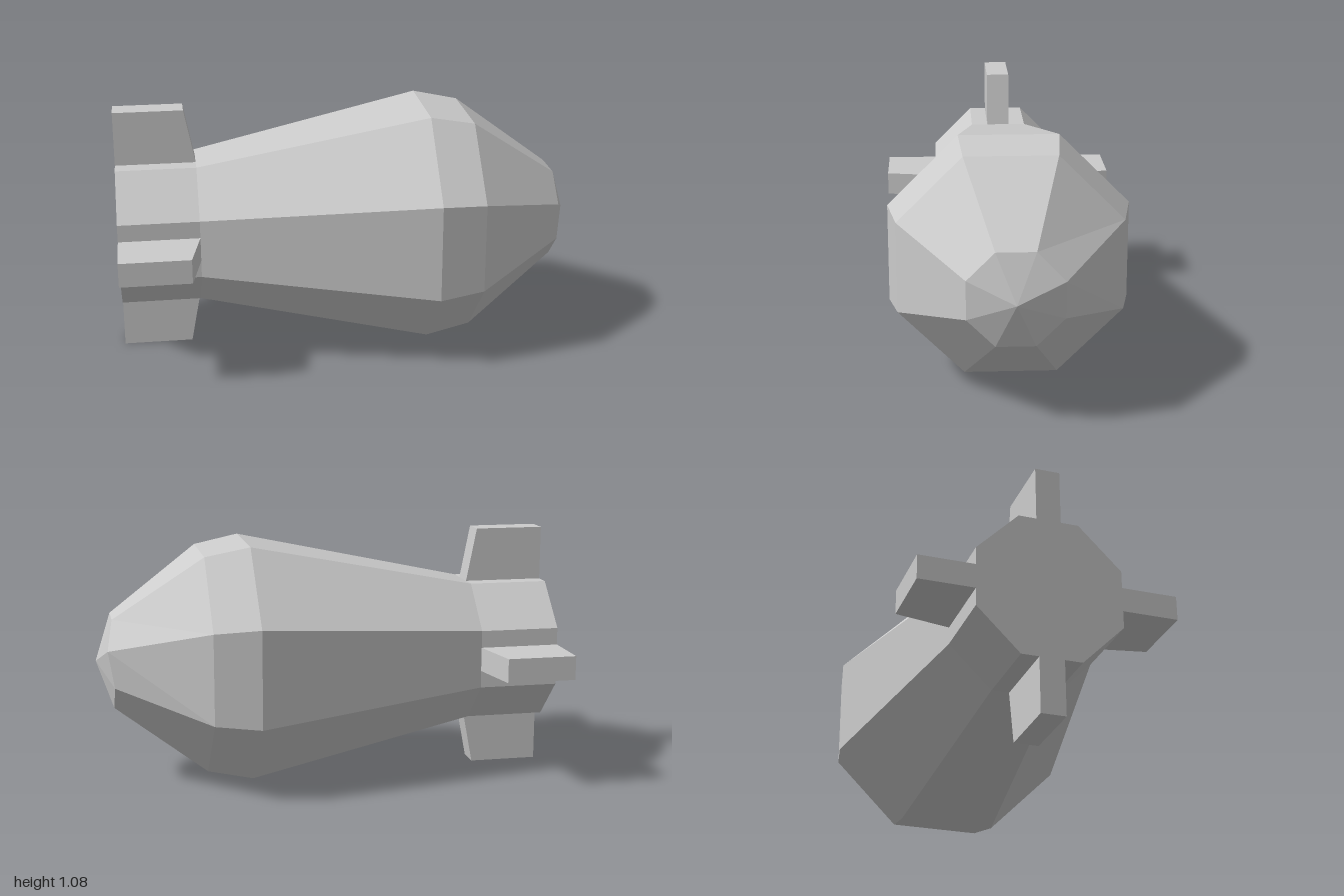
import * as THREE from 'three';

const AXIS_Y = 0.54;
const SIDES = 8;

// Flat-sided hull: octagonal rings [x, apothem] joined along the x axis
function hullGeometry() {
  const rings = [[-1, 0], [-1, 0.305], [-0.655, 0.305], [0.345, 0.51], [0.54, 0.471], [0.93, 0.195], [1, 0]];
  const point = (i, j) => {
    const k = j % SIDES;
    const [x, apothem] = rings[i];
    const r = apothem / Math.cos(Math.PI / SIDES);
    const a = ((k + 0.5) * 2 * Math.PI) / SIDES;
    // one corner of the nose ring sits slightly further forward
    const shift = i === 5 && k === 6 ? 0.026 : 0;
    return [x + shift, r * Math.cos(a), r * Math.sin(a)];
  };
  const positions = [];
  for (let i = 0; i < rings.length - 1; i++) {
    for (let j = 0; j < SIDES; j++) {
      const a = point(i, j), b = point(i, j + 1);
      const c = point(i + 1, j + 1), d = point(i + 1, j);
      if (rings[i][1] > 0) positions.push(...a, ...b, ...c);
      if (rings[i + 1][1] > 0) positions.push(...a, ...c, ...d);
      else continue;
    }
  }
  const geometry = new THREE.BufferGeometry();
  geometry.setAttribute('position', new THREE.Float32BufferAttribute(positions, 3));
  // the nose tip and tail centre fans leave out their zero-area triangles
  geometry.computeVertexNormals();
  return geometry;
}

// Thick tail fin with a slanted leading edge, rooted just inside the hull
function finGeometry() {
  const thickness = 0.104;
  const shape = new THREE.Shape([
    new THREE.Vector2(-1, 0.28),
    new THREE.Vector2(-0.65, 0.28),
    new THREE.Vector2(-0.7, 0.54),
    new THREE.Vector2(-1, 0.54),
  ]);
  const geometry = new THREE.ExtrudeGeometry(shape, { depth: thickness, bevelEnabled: false });
  return geometry.translate(0, 0, -thickness / 2);
}

export function createModel() {
  const model = new THREE.Group();
  model.name = 'finnedShell';
  const material = new THREE.MeshStandardMaterial({ color: 0xcccccc, flatShading: true });

  const hull = new THREE.Mesh(hullGeometry(), material);
  hull.name = 'hull';
  hull.position.y = AXIS_Y;
  model.add(hull);

  // Four fins around the tail
  const fin = finGeometry();
  ['topFin', 'frontFin', 'bottomFin', 'backFin'].forEach((name, i) => {
    const mesh = new THREE.Mesh(fin, material);
    mesh.name = name;
    mesh.position.y = AXIS_Y;
    mesh.rotation.x = (i * Math.PI) / 2;
    model.add(mesh);
  });
  return model;
}
